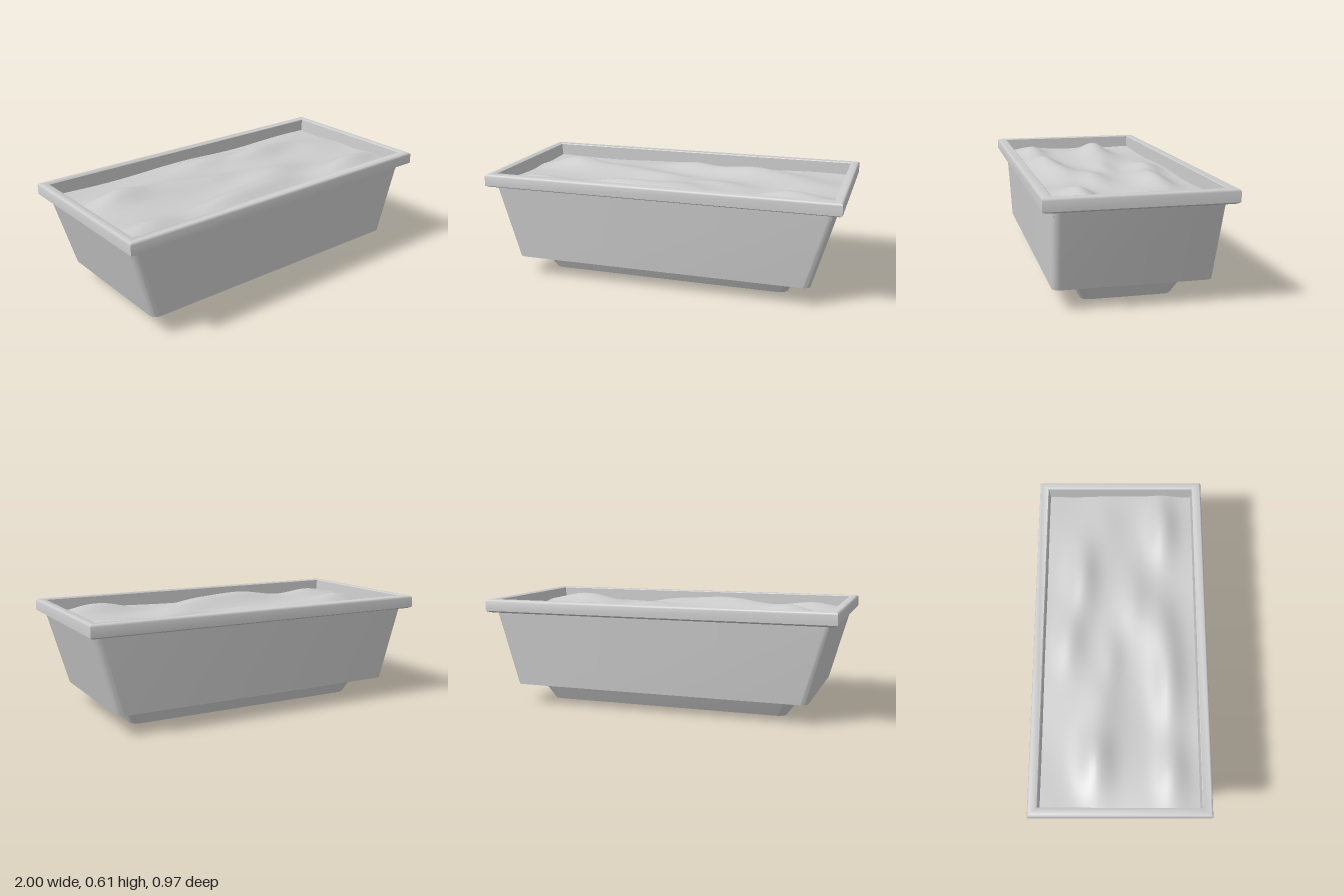
import * as THREE from 'three';
import { toCreasedNormals } from 'three/addons/utils/BufferGeometryUtils.js';

const grey = new THREE.MeshStandardMaterial({ color: 0xcccccc, side: THREE.DoubleSide });

// Outline of a rectangle; corners rounded by radius r in n steps (n = 0: sharp)
function outline(hx, hz, r, n) {
  const pts = [];
  for (let q = 0; q < 4; q++) {
    const sx = q === 0 || q === 3 ? 1 : -1;
    const sz = q < 2 ? 1 : -1;
    for (let i = 0; i <= n; i++) {
      const a = (q + (n ? i / n : 0.5)) * Math.PI / 2;
      pts.push(n
        ? [sx * (hx - r) + r * Math.cos(a), sz * (hz - r) + r * Math.sin(a)]
        : [sx * hx, sz * hz]);
    }
  }
  return pts;
}

// Skin over rings [halfX, halfZ, y], with an optional cap on the first ring
function loft(name, rings, { r = 0, n = 0, cap = false, crease = 0.7 } = {}) {
  const pos = [], idx = [], count = 4 * (n + 1);
  for (const [hx, hz, y] of rings) {
    for (const [x, z] of outline(hx, hz, r, n)) pos.push(x, y, z);
  }
  for (let k = 0; k < rings.length - 1; k++) {
    for (let i = 0; i < count; i++) {
      const a = k * count + i, b = k * count + (i + 1) % count;
      idx.push(a, a + count, b, b, a + count, b + count);
    }
  }
  if (cap) for (let i = 1; i < count - 1; i++) idx.push(0, i, i + 1);
  const geo = new THREE.BufferGeometry();
  geo.setAttribute('position', new THREE.Float32BufferAttribute(pos, 3));
  geo.setIndex(idx);
  const mesh = new THREE.Mesh(toCreasedNormals(geo, crease), grey);
  mesh.name = name;
  return mesh;
}

// Soil mounds: [x, z, height, widthX, widthZ]
const mounds = [
  [0.38, -0.22, 0.055, 0.25, 0.08],
  [0.02, -0.29, 0.045, 0.2, 0.08],
  [-0.7, -0.13, 0.065, 0.18, 0.09],
  [-0.35, -0.1, 0.03, 0.25, 0.1],
  [-0.25, 0.27, 0.055, 0.28, 0.08],
  [-0.75, 0.28, 0.045, 0.18, 0.08],
  [0.1, 0.22, 0.035, 0.2, 0.09],
  [0.7, 0.25, 0.055, 0.22, 0.08],
  [0.25, 0.08, 0.03, 0.2, 0.08],
  [0.75, -0.1, 0.025, 0.2, 0.12],
  [-0.1, -0.05, 0.02, 0.15, 0.06],
];

function soilHeight(x, z) {
  let y = 0.53 + 0.005 * Math.sin(7 * x + 9 * z);
  for (const [mx, mz, h, wx, wz] of mounds) {
    y += h * Math.exp(-(((x - mx) / wx) ** 2) - ((z - mz) / wz) ** 2);
  }
  return y;
}

function makeSoil() {
  const geo = new THREE.PlaneGeometry(1.89, 0.85, 90, 44).rotateX(-Math.PI / 2);
  const p = geo.attributes.position;
  for (let i = 0; i < p.count; i++) p.setY(i, soilHeight(p.getX(i), p.getZ(i)));
  geo.computeVertexNormals();
  const mesh = new THREE.Mesh(geo, grey);
  mesh.name = 'soil';
  return mesh;
}

export function createModel() {
  const group = new THREE.Group();
  group.name = 'planter';

  // Tapered foot, set in from the body
  group.add(loft('foot', [[0.705, 0.245, 0], [0.76, 0.3, 0.11]], { r: 0.05, n: 6, cap: true }));

  // Flared trough
  group.add(loft('body', [[0.85, 0.416, 0.11], [0.968, 0.431, 0.53]], { r: 0.04, n: 6, cap: true }));

  // Rim with softened edges and mitred corners, running down into the inner wall
  group.add(loft('rim', [
    [0.962, 0.428, 0.526],
    [0.985, 0.465, 0.532],
    [1, 0.484, 0.541],
    [1, 0.484, 0.594],
    [0.997, 0.481, 0.602],
    [0.99, 0.474, 0.606],
    [0.958, 0.434, 0.606],
    [0.953, 0.43, 0.602],
    [0.943, 0.424, 0.5],
  ]));

  group.add(makeSoil());
  return group;
}
